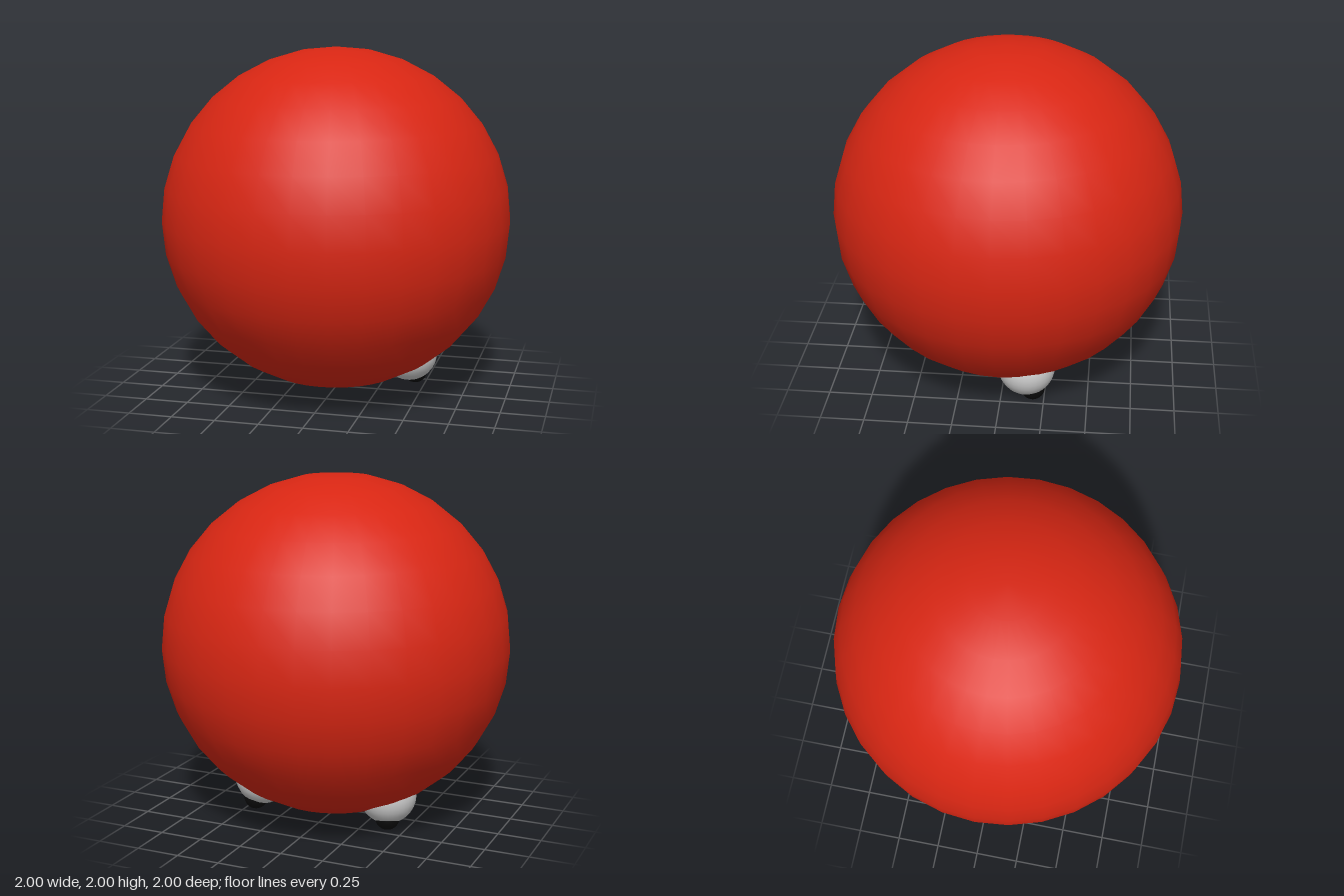
import * as THREE from 'three';

const material = (color) => new THREE.MeshStandardMaterial({ color });

export function createModel() {
  const model = new THREE.Group();
  const red = material(0xd82613);
  const white = material(0xcccccc);
  const black = material(0x0a0a0a);

  function ball(name, parent, radius, mat, position, segments) {
    const geometry = new THREE.SphereGeometry(radius, segments, segments / 2);
    const mesh = new THREE.Mesh(geometry, mat);
    mesh.name = name;
    mesh.position.set(...position);
    parent.add(mesh);
    return mesh;
  }

  // Slightly squashed round body
  const body = ball('body', model, 1, red, [0, 1.022, 0], 32);
  body.scale.y = 0.978;

  // Two bulging eyes on the underside, each with a pupil at its lowest point
  const eyes = [
    { name: 'leftEye', white: [0.41, 0.2, -0.145], pupil: [0.44, 0.075, -0.185] },
    { name: 'rightEye', white: [-0.385, 0.2, -0.145], pupil: [-0.4, 0.075, -0.185] },
  ];
  for (const eye of eyes) {
    const group = new THREE.Group();
    group.name = eye.name;
    ball('eyeball', group, 0.165, white, eye.white, 32);
    ball('pupil', group, 0.07, black, eye.pupil, 24);
    model.add(group);
  }

  return model;
}
